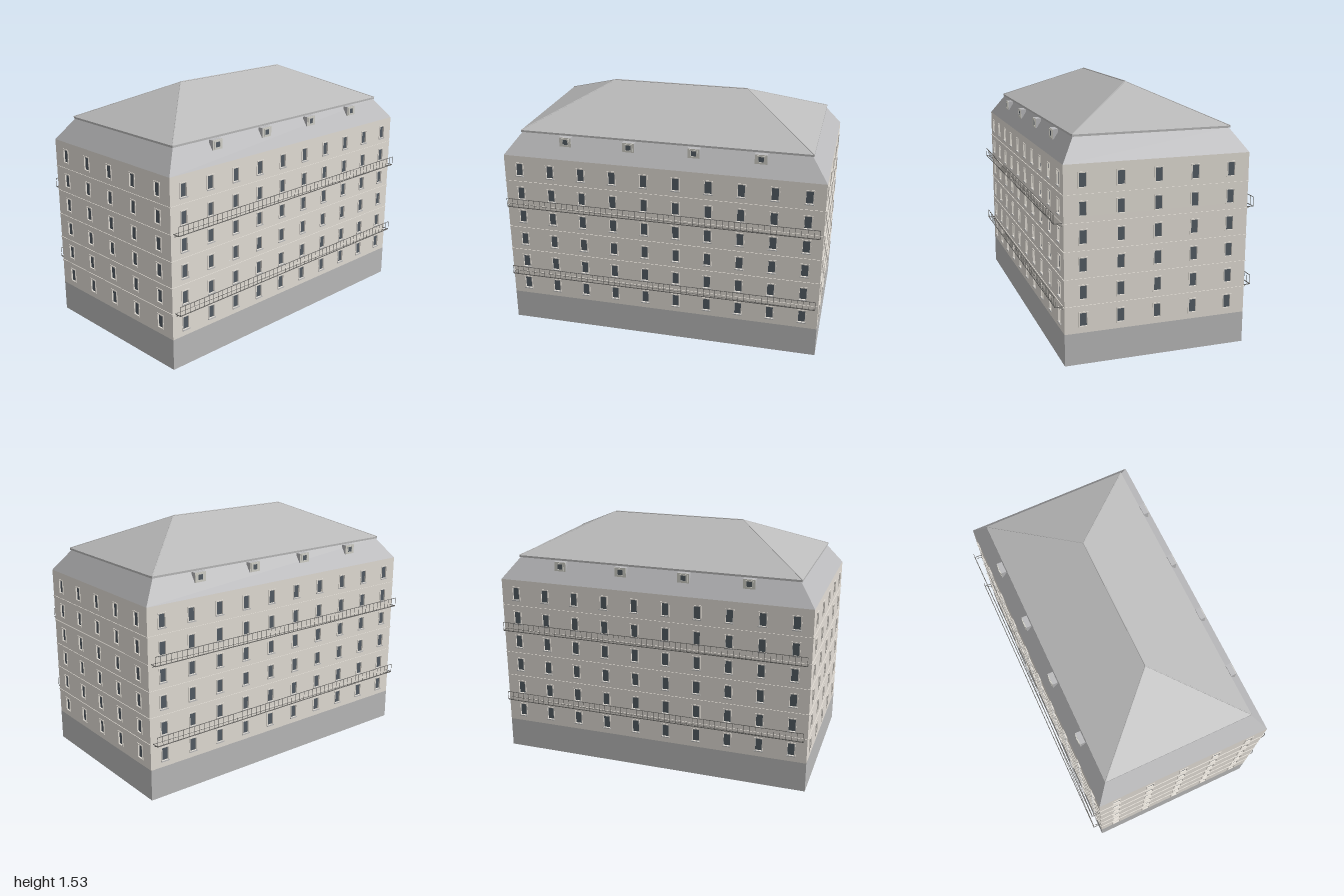
import * as THREE from 'three';
import { mergeGeometries } from 'three/addons/utils/BufferGeometryUtils.js';

const mat = (name, color, side = THREE.FrontSide) => {
  const m = new THREE.MeshStandardMaterial({ color, side });
  m.name = name;
  return m;
};
const W = 0.992, D = 0.552;           // half width and half depth of the body
const BASE = 0.19, WALL = 1.16, EAVE = 1.29, RIDGE = 1.525;

// Box given by centre and size
function box(x, y, z, w, h, d) {
  return new THREE.BoxGeometry(w, h, d).translate(x, y, z);
}

// Thin round bar between two points
function bar(a, b, r) {
  const p = new THREE.Vector3(...a), q = new THREE.Vector3(...b);
  const dir = q.clone().sub(p);
  const g = new THREE.CylinderGeometry(r, r, dir.length(), 12);
  g.applyQuaternion(new THREE.Quaternion().setFromUnitVectors(new THREE.Vector3(0, 1, 0), dir.normalize()));
  return g.translate(...p.add(q).multiplyScalar(0.5).toArray());
}

// Four sloping sides between two rectangles [halfX, halfZ, y]
function skirt(lo, hi) {
  const ring = ([x, z, y]) => [[-x, y, z], [x, y, z], [x, y, -z], [-x, y, -z]];
  const a = ring(lo), b = ring(hi), pos = [];
  for (let i = 0; i < 4; i++) {
    const j = (i + 1) % 4;
    pos.push(...a[i], ...a[j], ...b[j]);
    if (i % 2 === 0 || hi[1] > 0) pos.push(...a[i], ...b[j], ...b[i]);
  }
  const g = new THREE.BufferGeometry();
  g.setAttribute('position', new THREE.Float32BufferAttribute(pos, 3));
  g.computeVertexNormals();
  return g;
}

function rectPath(Type, cx, cy, w, h) {
  const s = new Type();
  s.moveTo(cx - w / 2, cy - h / 2);
  s.lineTo(cx + w / 2, cy - h / 2);
  s.lineTo(cx + w / 2, cy + h / 2);
  s.lineTo(cx - w / 2, cy + h / 2);
  s.closePath();
  return s;
}

// Rectangular frame with an opening
function frame(cx, cy, w, h, iw, ih, z, depth) {
  const s = rectPath(THREE.Shape, cx, cy, w, h);
  s.holes.push(rectPath(THREE.Path, cx, cy, iw, ih));
  return new THREE.ExtrudeGeometry(s, { depth, bevelEnabled: false }).translate(0, 0, z);
}

export function createModel() {
  const wallMat = mat('wall plaster', 0xe3ded6, THREE.DoubleSide);
  const stone = mat('grey base and roof', 0xbababa, THREE.DoubleSide);
  const mansardMat = mat('lower roof grey', 0xbababc, THREE.DoubleSide);
  const glass = mat('window glass', 0x535c64, THREE.DoubleSide);
  const metal = mat('railing metal', 0x6c6b68);
  const under = mat('platform underside', 0x8c8b87);
  const dormerMat = mat('dormer casing', 0xd2d1c9);

  const model = new THREE.Group();
  const add = (parent, name, geo, material) => {
    const m = new THREE.Mesh(Array.isArray(geo) ? mergeGeometries(geo) : geo, material);
    m.name = name;
    parent.add(m);
    return m;
  };

  // Open base plinth
  add(model, 'base', skirt([W, D, 0], [W, D, BASE]), stone);

  // One facade, built in the xy plane and facing +z
  function facade(name, half, columns, step, sills) {
    const g = new THREE.Group();
    g.name = name;
    const wall = rectPath(THREE.Shape, 0, (BASE + WALL) / 2, half * 2, WALL - BASE);
    const panes = [], frames = [], ledges = [], bands = [];
    for (let r = 0; r < 6; r++) {
      const y = 0.27 + r * 0.16;
      if (r > 0) bands.push(box(0, BASE + r * 0.16, 0.001, half * 2, 0.005, 0.006));
      for (let c = 0; c < columns; c++) {
        const x = (c - (columns - 1) / 2) * step;
        wall.holes.push(rectPath(THREE.Path, x, y, 0.044, 0.082));
        panes.push(new THREE.PlaneGeometry(0.045, 0.083).translate(x, y, -0.006));
        frames.push(frame(x, y, 0.056, 0.092, 0.042, 0.079, -0.007, 0.011));
        if (sills) ledges.push(box(x, y - 0.043, 0.003, 0.056, 0.006, 0.01));
      }
    }
    add(g, 'wall', new THREE.ShapeGeometry(wall), wallMat);
    add(g, 'windowPanes', panes, glass);
    add(g, 'windowFrames', frames, wallMat);
    add(g, 'floorBands', bands, wallMat);
    if (sills) add(g, 'windowSills', ledges, stone);
    model.add(g);
    return g;
  }

  // Long balcony with railing, local origin at the wall foot
  function balcony(y) {
    const g = new THREE.Group();
    g.name = 'balcony';
    const L = 0.975, out = 0.048, top = y + 0.055, parts = [];
    parts.push(box(0, y, out, 2 * L, 0.005, 0.003));
    parts.push(box(0, top, out, 2 * L, 0.003, 0.003));
    parts.push(bar([-L, y, 0.004], [L, y, out - 0.003], 0.0015));
    // Posts
    const n = 54;
    for (let i = 0; i <= n; i++) {
      parts.push(box(-L + (2 * L * i) / n, (y + top) / 2, out, 0.002, top - y, 0.002));
    }
    // End bars and slanted brackets
    for (const s of [-1, 1]) {
      const x = s * (L - 0.01);
      parts.push(box(s * L, y, out / 2, 0.003, 0.004, out));
      parts.push(bar([x, y - 0.018, 0.002], [x, y - 0.002, 0.036], 0.002));
    }
    add(g, 'railing', parts, metal);
    // Platform face seen from beneath
    add(g, 'platform', new THREE.PlaneGeometry(2 * L, out).rotateX(Math.PI / 2).translate(0, y, out / 2), under);
    return g;
  }

  // Roof window box on the lower roof slope
  function dormer(x) {
    const g = new THREE.Group();
    g.name = 'dormer';
    const y = 1.261;
    add(g, 'dormerBox', box(x, y, -0.059, 0.074, 0.058, 0.032), mansardMat);
    add(g, 'dormerFace', frame(x, y, 0.074, 0.058, 0.032, 0.032, -0.043, 0.002), dormerMat);
    add(g, 'dormerFrame', frame(x, y, 0.052, 0.046, 0.032, 0.032, -0.041, 0.003), dormerMat);
    add(g, 'dormerPane', new THREE.PlaneGeometry(0.032, 0.032).translate(x, y, -0.0415), glass);
    return g;
  }

  // Front and back, each with balconies and dormers, then both ends
  for (const [name, turn] of [['front', 0], ['back', Math.PI]]) {
    const g = facade(name + 'Facade', W, 10, 0.199, true);
    g.add(balcony(0.353), balcony(0.833));
    for (const x of [-0.6, -0.2, 0.2, 0.6]) g.add(dormer(x));
    g.rotation.y = turn;
    g.position.z = turn ? -D : D;
  }
  for (const [name, s] of [['left', 1], ['right', -1]]) {
    const g = facade(name + 'Facade', D, 5, 0.221, false);
    g.rotation.y = s * Math.PI / 2;
    g.position.x = s * W;
  }

  // Steep lower roof, eaves and hipped upper roof
  const ex = 0.9, ez = 0.472, rx = 0.43;
  add(model, 'lowerRoof', skirt([W, D, WALL], [0.893, 0.467, EAVE]), mansardMat);
  add(model, 'eaves', [skirt([0.893, 0.467, EAVE], [ex, ez, EAVE]), skirt([ex, ez, EAVE], [ex, ez, EAVE + 0.012])], stone);
  add(model, 'upperRoof', skirt([ex, ez, EAVE + 0.012], [rx, 0, RIDGE - 0.003]), stone);

  // Ridge and hip cappings
  const caps = [bar([-rx, RIDGE - 0.003, 0], [rx, RIDGE - 0.003, 0], 0.004)];
  for (const sx of [-1, 1]) for (const sz of [-1, 1]) {
    caps.push(bar([sx * ex, EAVE + 0.012, sz * ez], [sx * rx, RIDGE - 0.004, 0], 0.003));
  }
  add(model, 'ridgeCaps', caps, stone);
  return model;
}
